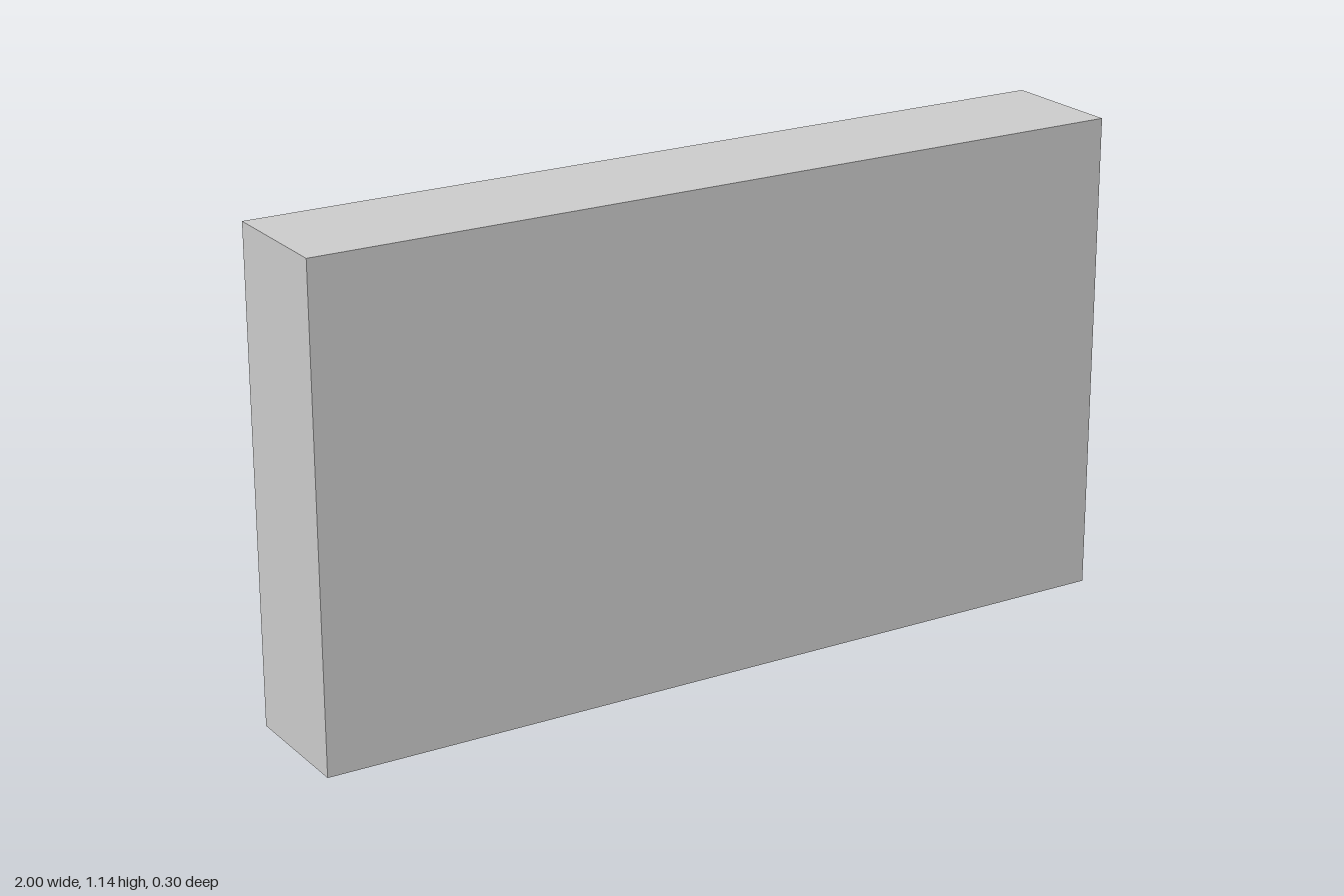
import * as THREE from 'three';

const BACK = -0.15, WALL = 0.11, FRONT = 0.15, HEIGHT = 1.14;
const FLOOR = 0.46, PIT = 0.30, SOCKET = 0.36;

export function createModel() {
  const group = new THREE.Group();
  const material = new THREE.MeshStandardMaterial({ color: 0xcccccc, flatShading: true });

  function add(name, geometry) {
    const mesh = new THREE.Mesh(geometry, material);
    mesh.name = name;
    group.add(mesh);
    return mesh;
  }

  // Box given by its limits on each axis
  function box(name, [x0, x1], [y0, y1], [z0, z1]) {
    const mesh = add(name, new THREE.BoxGeometry(x1 - x0, y1 - y0, z1 - z0));
    mesh.position.set((x0 + x1) / 2, (y0 + y1) / 2, (z0 + z1) / 2);
  }

  // Closed panel on the front
  box('frontPanel', [-1, 1], [0, HEIGHT], [WALL, FRONT]);

  // Frame and ground, with the opening dropping into a pit and a narrow slot
  const outline = new THREE.Shape([
    [-1, 0], [1, 0], [1, HEIGHT], [-1, HEIGHT],
  ].map(([x, y]) => new THREE.Vector2(x, y)));
  outline.holes.push(new THREE.Path([
    [-0.92, 1.08], [0.92, 1.08], [0.92, FLOOR], [0.4, FLOOR], [0.4, PIT], [-0.3, PIT],
    [-0.3, FLOOR], [-0.68, FLOOR], [-0.68, SOCKET], [-0.78, SOCKET], [-0.78, FLOOR], [-0.92, FLOOR],
  ].map(([x, y]) => new THREE.Vector2(x, y))));
  const frame = new THREE.ExtrudeGeometry(outline, { depth: WALL - BACK, bevelEnabled: false });
  frame.translate(0, 0, BACK);
  add('frameAndGround', frame);

  // Fill both ends of the slot, leaving a square socket in the ground
  box('socketRearFill', [-0.78, -0.68], [SOCKET, FLOOR], [BACK, -0.083]);
  box('socketFrontFill', [-0.78, -0.68], [SOCKET, FLOOR], [0.017, WALL]);

  // Blocks standing on the ground
  const deep = [BACK + 0.001, WALL];
  box('leftBlock', [0.52, 0.735], [FLOOR, 0.68], deep);
  box('leftStep', [0.735, 0.85], [FLOOR, 0.513], deep);
  box('rightBlock', [-0.515, -0.302], [FLOOR, 0.765], deep);

  // Floating platforms over the pit
  const floating = [-0.125, 0.08];
  box('lowPlatform', [0.107, 0.325], [0.513, 0.556], floating);
  box('highPlatform', [-0.162, 0.055], [0.602, 0.645], floating);

  return group;
}
